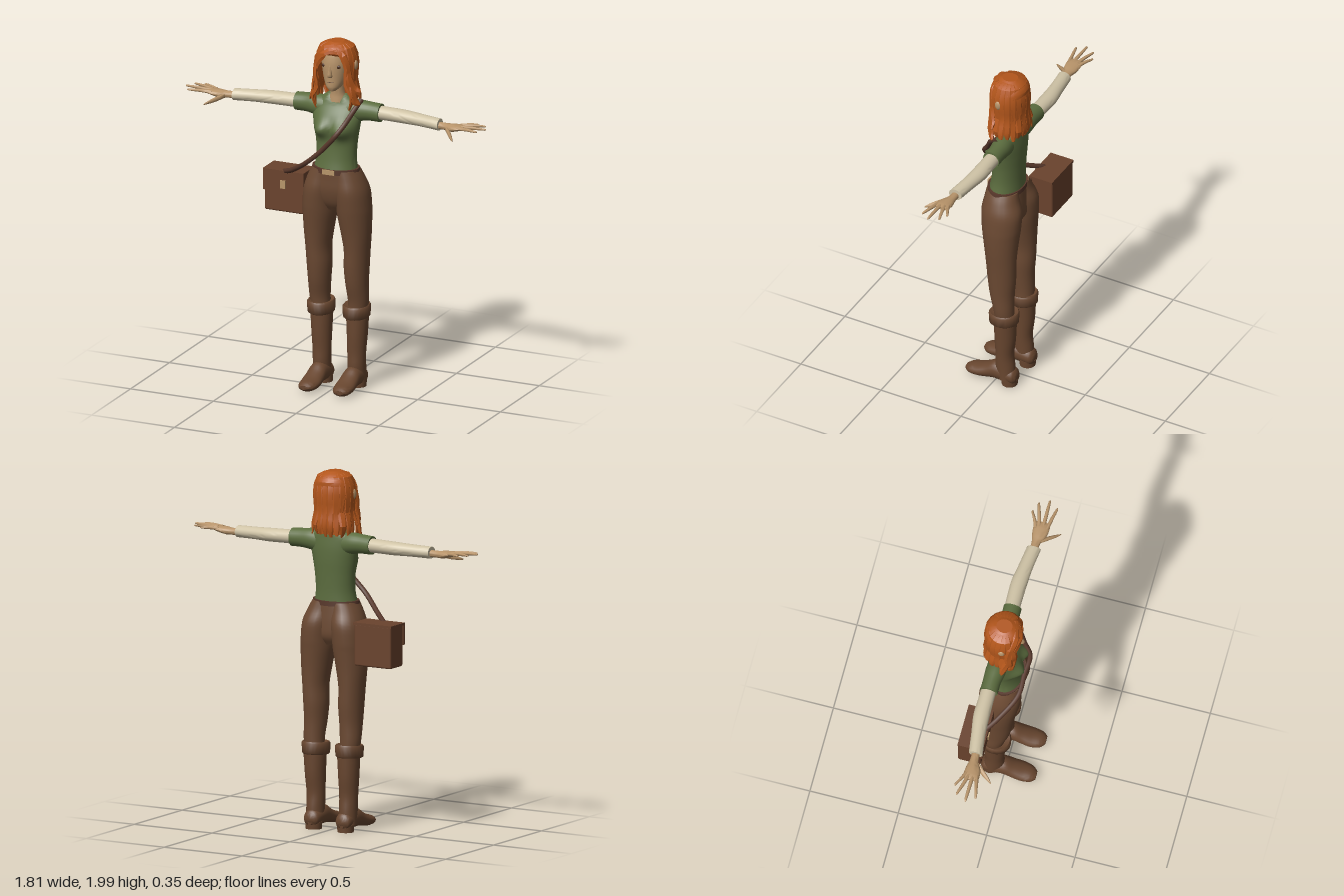
import * as THREE from 'three';
import { toCreasedNormals } from 'three/addons/utils/BufferGeometryUtils.js';
import { RoundedBoxGeometry } from 'three/addons/geometries/RoundedBoxGeometry.js';

const V = (x, y, z) => new THREE.Vector3(x, y, z);

// Stitch closed rings of points into a capped surface; s = -1 mirrors it in x
function skin(rings, crease = 0.9, s = 1) {
  const n = rings[0].length, m = rings.length, pos = [], idx = [];
  const put = (p) => pos.push(p.x * s, p.y, p.z);
  const tri = (a, b, c) => (s > 0 ? idx.push(a, b, c) : idx.push(a, c, b));
  rings.forEach((r) => r.forEach(put));
  for (const r of [rings[0], rings[m - 1]]) {
    const c = V(0, 0, 0);
    r.forEach((p) => c.addScaledVector(p, 1 / n));
    put(c);
  }
  for (let j = 0; j < n; j++) {
    const k = (j + 1) % n, top = (m - 1) * n;
    for (let i = 0; i < m - 1; i++) {
      const a = i * n + j, b = i * n + k;
      tri(a, a + n, b);
      tri(b, a + n, b + n);
    }
    tri(m * n, j, k);
    tri(m * n + 1, top + k, top + j);
  }
  const g = new THREE.BufferGeometry();
  g.setAttribute('position', new THREE.Float32BufferAttribute(pos, 3));
  g.setIndex(idx);
  return toCreasedNormals(g, crease);
}

// Elliptical sections [x, y, z, radiusA, radiusB], listed in rising order along the axis.
// Radii: y axis -> (x, z), x axis -> (z, y), z axis -> (y, x)
function loft(axis, rows, { n = 24, sub = 4, s = 1, warp, crease } = {}) {
  const centre = new THREE.CatmullRomCurve3(rows.map((r) => V(r[0], r[1], r[2])), false, 'catmullrom');
  const radius = new THREE.CatmullRomCurve3(rows.map((r) => V(r[3], r[4], 0)), false, 'catmullrom');
  const [u, v] = { y: ['x', 'z'], x: ['z', 'y'], z: ['y', 'x'] }[axis];
  const count = (rows.length - 1) * sub, rings = [];
  for (let i = 0; i <= count; i++) {
    const c = centre.getPoint(i / count), r = radius.getPoint(i / count), ring = [];
    for (let j = 0; j < n; j++) {
      const t = (j / n) * Math.PI * 2, p = c.clone();
      p[u] += r.x * Math.cos(t);
      p[v] += r.y * Math.sin(t);
      if (warp) warp(p);
      ring.push(p);
    }
    rings.push(ring);
  }
  return skin(rings, crease, s);
}

// Flat tapered hair strand, its broad face turned away from the head
function lock(points, width, thick) {
  const curve = new THREE.CatmullRomCurve3(points), rings = [];
  for (let i = 0; i <= 10; i++) {
    const t = i / 10, p = curve.getPoint(t), T = curve.getTangent(t);
    const N = p.clone().sub(V(0, 1.85, -0.03)).setY(p.y > 1.93 ? 0.1 : 0);
    N.addScaledVector(T, -N.dot(T)).normalize();
    const B = T.clone().cross(N);
    const k = 0.12 + 0.88 * Math.pow(Math.sin(Math.PI * (0.12 + 0.86 * t)), 0.6);
    rings.push([0, 1, 2, 3, 4, 5].map((j) => p.clone()
      .addScaledVector(B, Math.cos(j * Math.PI / 3) * width * k)
      .addScaledVector(N, Math.sin(j * Math.PI / 3) * thick * k)));
  }
  return skin(rings, 0.35);
}

export function createModel() {
  const model = new THREE.Group();
  model.name = 'woman';
  const mat = (name, color) => {
    const m = new THREE.MeshStandardMaterial({ color });
    m.name = name;
    return m;
  };
  const hair = mat('auburn hair', 0xb3561b), flesh = mat('skin', 0xb8946a), shirt = mat('green shirt', 0x5c6d3f);
  const linen = mat('cream linen', 0xcfc3a6), cloth = mat('brown trousers', 0x6b4932), boot = mat('brown boots', 0x68462f);
  const leather = mat('bag leather', 0x6a432d), strapMat = mat('dark strap', 0x57372a);
  const brass = mat('tan buckle', 0xb8976a), dark = mat('dark eyes', 0x4a2c1c);
  const add = (name, geo, material, x = 0, y = 0, z = 0) => {
    const m = new THREE.Mesh(geo, material);
    m.name = name;
    m.position.set(x, y, z);
    model.add(m);
    return m;
  };
  const box = (w, h, d) => new THREE.BoxGeometry(w, h, d);

  // Shirt with bust and V neckline
  add('shirt', loft('y', [
    [0, 1.25, -0.015, 0.128, 0.094], [0, 1.33, -0.022, 0.116, 0.086], [0, 1.42, -0.027, 0.12, 0.084],
    [0, 1.5, -0.027, 0.133, 0.088], [0, 1.57, -0.035, 0.143, 0.08], [0, 1.63, -0.05, 0.135, 0.06],
    [0, 1.668, -0.055, 0.085, 0.052], [0, 1.69, -0.058, 0.055, 0.045],
  ], { n: 40, sub: 6, warp: (p) => {
    if (p.z > -0.02 && p.y < 1.62) {
      const dx = (Math.abs(p.x) - 0.062) / 0.045, dy = (p.y - 1.5) / 0.045;
      p.z += 0.043 * Math.exp(-dx * dx - dy * dy) * Math.min(1, (p.z + 0.02) / 0.05);
    }
    if (p.y > 1.65 && p.z > -0.055) p.y -= 0.045 * Math.max(0, 1 - Math.abs(p.x) / 0.05);
  } }), shirt);

  // Neck and head
  add('neck', loft('y', [[0, 1.62, -0.045, 0.055, 0.05], [0, 1.66, -0.045, 0.05, 0.046],
    [0, 1.7, -0.04, 0.04, 0.04], [0, 1.78, -0.03, 0.04, 0.042]]), flesh);
  add('head', loft('y', [
    [0, 1.722, 0.03, 0.018, 0.02], [0, 1.745, 0.01, 0.043, 0.05], [0, 1.79, -0.01, 0.064, 0.072],
    [0, 1.85, -0.02, 0.077, 0.086], [0, 1.9, -0.028, 0.082, 0.092], [0, 1.95, -0.035, 0.072, 0.085],
    [0, 1.985, -0.04, 0.035, 0.045]]), flesh);
  add('nose', loft('y', [[0, 1.803, 0.06, 0.01, 0.008], [0, 1.815, 0.066, 0.015, 0.018],
    [0, 1.845, 0.063, 0.009, 0.013], [0, 1.885, 0.055, 0.007, 0.008]], { n: 8, sub: 2 }), flesh);
  add('mouth', new THREE.SphereGeometry(1, 12, 6), dark, 0, 1.775, 0.058).scale.set(0.02, 0.003, 0.004);
  for (const s of [1, -1]) {
    add('eye', new THREE.SphereGeometry(1, 12, 8), dark, s * 0.043, 1.867, 0.05).scale.set(0.015, 0.01, 0.006);
    add('ear', new THREE.SphereGeometry(1, 10, 8), flesh, s * 0.115, 1.87, -0.02).scale.set(0.012, 0.028, 0.02);
  }

  // Hair: scalp mass, then strands around the sides and back
  add('hairCap', loft('y', [
    [0, 1.65, -0.085, 0.085, 0.04], [0, 1.75, -0.08, 0.092, 0.052], [0, 1.85, -0.068, 0.108, 0.068],
    [0, 1.9, -0.052, 0.112, 0.084], [0, 1.94, -0.036, 0.106, 0.102], [0, 1.972, -0.032, 0.083, 0.084],
    [0, 1.993, -0.032, 0.04, 0.045]], { n: 18, sub: 2, crease: 0.4 }), hair);
  let seed = 7;
  const rand = () => (seed = (seed * 16807) % 2147483647) / 2147483647;
  for (let i = 0; i < 15; i++) {
    const a = THREE.MathUtils.degToRad(62 + i * 16.9), side = Math.abs(Math.sin(a));
    const at = (r, y) => V(r * Math.sin(a), y, -0.032 + r * 0.9 * Math.cos(a));
    add('hairLock', lock([at(0.035, 1.986), at(0.09, 1.962), at(0.112, 1.87), at(0.105, 1.76 + rand() * 0.02),
      at(0.118 + 0.02 * side * rand(), 1.7), at(0.105 + 0.045 * side * rand(), 1.625 + rand() * 0.04)],
    0.027, 0.011), hair);
  }
  // Fringe swept from the parting, and the strands framing the face
  const fringe = [
    [V(0.045, 1.965, 0.035), V(-0.02, 1.952, 0.06), V(-0.07, 1.9, 0.055), V(-0.097, 1.83, 0.035), V(-0.1, 1.74, 0.03)],
    [V(0.05, 1.975, 0.02), V(-0.04, 1.965, 0.045), V(-0.095, 1.9, 0.03), V(-0.11, 1.8, 0.02), V(-0.12, 1.72, 0.03), V(-0.1, 1.63, 0.03)],
    [V(-0.08, 1.93, 0.035), V(-0.1, 1.82, 0.045), V(-0.09, 1.74, 0.04), V(-0.12, 1.68, 0.035), V(-0.1, 1.61, 0.03)],
    [V(0.03, 1.968, 0.04), V(0.07, 1.93, 0.042), V(0.092, 1.86, 0.03), V(0.09, 1.77, 0.035), V(0.12, 1.7, 0.03), V(0.1, 1.62, 0.03)],
    [V(0.09, 1.88, 0.02), V(0.1, 1.8, 0.03), V(0.125, 1.74, 0.01), V(0.155, 1.725, 0)],
    [V(-0.1, 1.85, 0.01), V(-0.11, 1.76, 0.02), V(-0.135, 1.69, 0), V(-0.155, 1.64, -0.01)],
    [V(0.1, 1.8, 0.01), V(0.115, 1.73, 0.025), V(0.13, 1.67, 0.015), V(0.15, 1.65, 0)],
  ];
  fringe.forEach((pts) => add('hairFringe', lock(pts, 0.025, 0.012), hair));

  // Fingers as [base, tip]; the thumb is separate
  const fingers = [
    [0.74, 1.6, 0.01, 0.875, 1.605, 0.035], [0.75, 1.602, -0.012, 0.907, 1.608, -0.014],
    [0.745, 1.602, -0.033, 0.88, 1.607, -0.068], [0.735, 1.6, -0.05, 0.83, 1.604, -0.09]];

  for (const s of [1, -1]) {
    // Arms and hands
    add('shortSleeve', loft('x', [[0.07, 1.595, -0.045, 0.055, 0.065], [0.13, 1.602, -0.048, 0.056, 0.06],
      [0.19, 1.604, -0.052, 0.05, 0.053], [0.255, 1.602, -0.053, 0.05, 0.051]], { s }), shirt);
    add('longSleeve', loft('x', [[0.2, 1.603, -0.055, 0.042, 0.039], [0.3, 1.602, -0.056, 0.043, 0.038],
      [0.4, 1.6, -0.056, 0.045, 0.037], [0.5, 1.598, -0.046, 0.04, 0.034], [0.62, 1.594, -0.03, 0.039, 0.033]], { s }), linen);
    add('hand', loft('x', [[0.6, 1.59, -0.03, 0.022, 0.02], [0.66, 1.589, -0.028, 0.025, 0.019],
      [0.7, 1.59, -0.022, 0.04, 0.021], [0.75, 1.597, -0.02, 0.045, 0.015], [0.775, 1.6, -0.02, 0.036, 0.008]], { s, n: 16 }), flesh);
    for (const [x, y, z, X, Y, Z] of fingers) {
      add('finger', loft('x', [[x, y, z, 0.011, 0.01], [(x + X) / 2, (y + Y) / 2 + 0.002, (z + Z) / 2, 0.0095, 0.009],
        [X - 0.012, Y, Z, 0.007, 0.006], [X, Y, Z, 0.002, 0.002]], { s, n: 8, sub: 2 }), flesh);
    }
    add('thumb', loft('x', [[0.665, 1.586, -0.012, 0.015, 0.012], [0.7, 1.572, 0.025, 0.02, 0.014],
      [0.73, 1.56, 0.062, 0.015, 0.01], [0.75, 1.552, 0.088, 0.004, 0.004]], { s, n: 8, sub: 2 }), flesh);

    // Trouser leg, boot and folded cuff
    add('trouserLeg', loft('y', [
      [0.108, 0.42, -0.06, 0.052, 0.055], [0.116, 0.5, -0.057, 0.058, 0.058], [0.113, 0.6, -0.045, 0.063, 0.07],
      [0.112, 0.7, -0.042, 0.069, 0.081], [0.116, 0.8, -0.04, 0.071, 0.086], [0.112, 0.9, -0.037, 0.083, 0.094],
      [0.104, 1.0, -0.034, 0.094, 0.106], [0.1, 1.06, -0.033, 0.096, 0.113], [0.09, 1.15, -0.03, 0.096, 0.117],
      [0.075, 1.22, -0.022, 0.085, 0.1], [0.06, 1.27, -0.018, 0.073, 0.09]], { s }), cloth);
    add('bootShaft', loft('y', [[0.105, 0.04, -0.07, 0.05, 0.05], [0.105, 0.12, -0.06, 0.05, 0.056],
      [0.105, 0.2, -0.057, 0.052, 0.052], [0.107, 0.3, -0.06, 0.057, 0.06], [0.108, 0.42, -0.062, 0.064, 0.063]], { s }), boot);
    add('bootFoot', loft('z', [[0.102, 0.055, -0.13, 0.03, 0.03], [0.102, 0.06, -0.11, 0.048, 0.047],
      [0.102, 0.07, -0.05, 0.056, 0.052], [0.102, 0.072, 0, 0.056, 0.052], [0.102, 0.054, 0.05, 0.044, 0.055],
      [0.102, 0.04, 0.1, 0.035, 0.057], [0.104, 0.034, 0.15, 0.027, 0.047], [0.106, 0.034, 0.176, 0.012, 0.025]],
    { s, warp: (p) => { p.y = Math.max(p.y, 0.014 + 0.006 * Math.cos(p.z * 25)); } }), boot);
    add('bootHeel', loft('y', [[0.102, 0, -0.085, 0.045, 0.044], [0.102, 0.04, -0.085, 0.047, 0.047]], { s, sub: 1 }), boot);
    add('bootCuff', loft('y', [[0.107, 0.412, -0.054, 0.068, 0.078], [0.107, 0.418, -0.053, 0.074, 0.084],
      [0.107, 0.472, -0.053, 0.077, 0.087], [0.107, 0.482, -0.054, 0.07, 0.08], [0.107, 0.474, -0.056, 0.055, 0.058]],
    { s, sub: 1, warp: (p) => { p.y -= (p.z + 0.05) * 0.06; } }), boot);
  }
  add('trouserHips', loft('y', [[0, 1.03, -0.03, 0.09, 0.06], [0, 1.08, -0.028, 0.155, 0.09], [0, 1.15, -0.02, 0.18, 0.1],
    [0, 1.22, -0.017, 0.156, 0.098], [0, 1.27, -0.015, 0.133, 0.096]], { n: 32 }), cloth);

  // Belt and buckle
  add('belt', loft('y', [[0, 1.25, -0.015, 0.14, 0.101], [0, 1.277, -0.015, 0.136, 0.1]], { n: 32, sub: 1 }), strapMat);
  add('beltBuckle', box(0.072, 0.026, 0.009), brass, 0, 1.264, 0.086);

  // Shoulder bag and strap
  add('bag', new RoundedBoxGeometry(0.235, 0.235, 0.13, 2, 0.01), leather, -0.33, 1.067, -0.112);
  add('bagFlapTop', box(0.245, 0.014, 0.142), leather, -0.33, 1.183, -0.107);
  add('bagFlap', box(0.245, 0.122, 0.014), leather, -0.33, 1.129, -0.043);
  add('bagClasp', box(0.032, 0.046, 0.009), brass, -0.33, 1.112, -0.034);
  const path = new THREE.CatmullRomCurve3([
    V(-0.335, 1.18, -0.06), V(-0.25, 1.222, 0.005), V(-0.13, 1.305, 0.08), V(-0.03, 1.395, 0.09),
    V(0.05, 1.485, 0.1), V(0.09, 1.55, 0.058), V(0.125, 1.62, 0.02), V(0.145, 1.668, -0.035)]);
  add('bagStrap', new THREE.TubeGeometry(path, 48, 0.014, 8), strapMat);

  return model;
}
